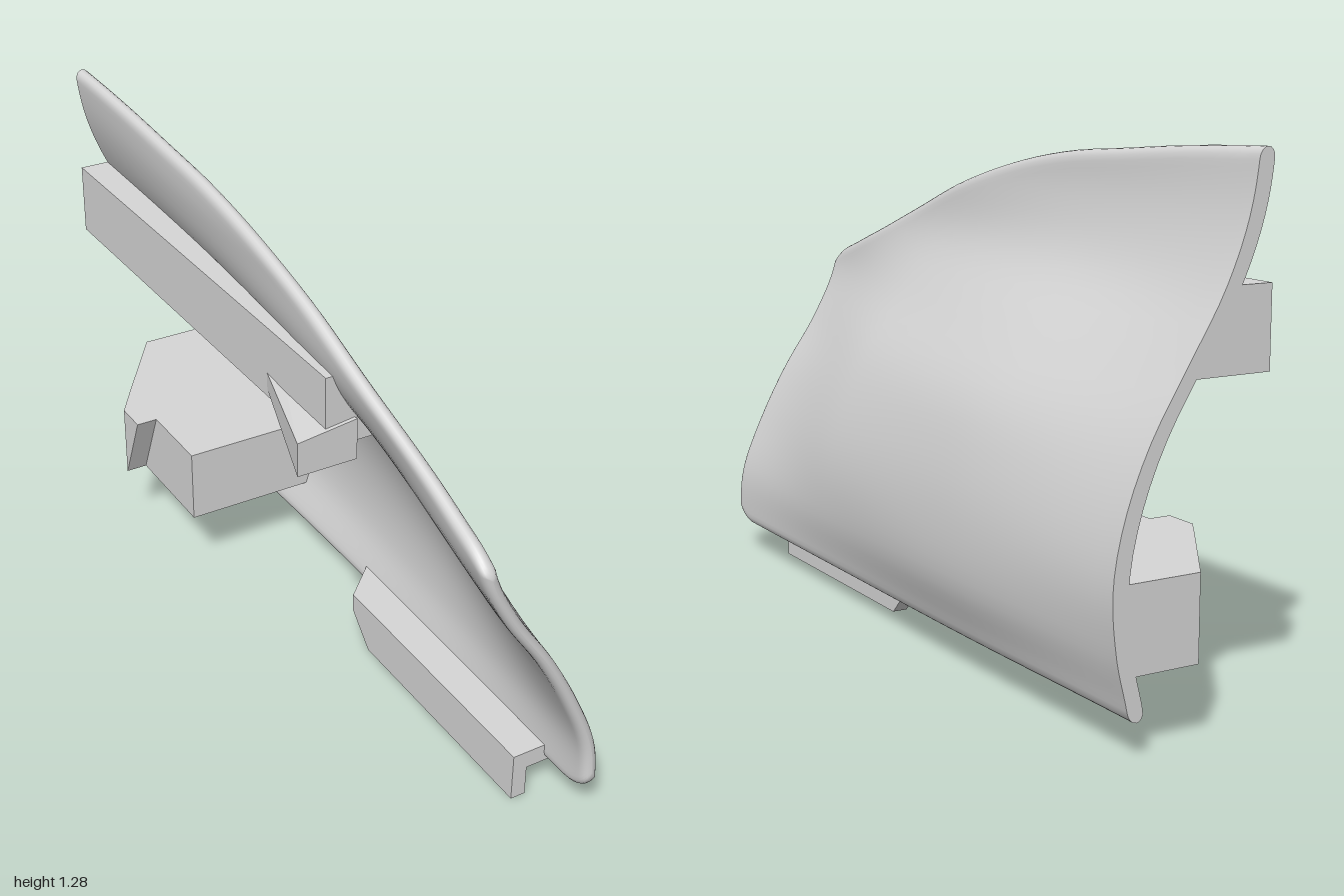
import * as THREE from 'three';

// Evenly spaced values turned into a smooth function of t in 0..1
function smooth(values) {
  const curve = new THREE.SplineCurve(values.map((v, i) => new THREE.Vector2(i, v)));
  return (t) => curve.getPoint(Math.min(1, Math.max(0, t))).y;
}

const BOTTOM = 0.085;
const topLine = smooth([1.28, 1.27, 1.252, 1.232, 1.19, 1.125, 1.035, 0.945, 0.875]); // back to front
// Outer face x from y = 0.085 to 1.285, at four stations from back to front
const stations = [
  [0.18, 0.213, 0.224, 0.195, 0.134, 0.044, -0.046, -0.105, -0.13],
  [0.195, 0.242, 0.248, 0.225, 0.172, 0.062, -0.064, -0.118, -0.13],
  [0.198, 0.225, 0.22, 0.177, 0.1, -0.018, -0.107, -0.128, -0.13],
  [0.2, 0.187, 0.126, 0.044, -0.056, -0.125, -0.131, -0.13, -0.13],
].map(smooth);

// x of the middle of the panel's thickness
function middleX(y, z) {
  const across = smooth(stations.map((station) => station((y - BOTTOM) / 1.2)));
  return across((z + 1) / 2) - 0.02;
}

// Curved panel with rounded rim and a flat cut at the back
function panelGeometry() {
  const N = 40, K = 48, ring = 2 * N;
  const pos = [], index = [];
  for (let k = 0; k <= K; k++) {
    const z = -1 + 2 * Math.sin((k / K) * Math.PI / 2);
    const u = Math.min(1, Math.max(0, (z - 0.91) / 0.09));
    const drop = 1 - Math.sqrt(1 - u * u);
    const lo = BOTTOM + 0.07 * drop, hi = topLine((z + 1) / 2) - 0.05 * drop;
    for (let i = 0; i < ring; i++) {
      const j = i <= N ? i : ring - i;
      const y = lo + (hi - lo) * (1 - Math.cos((j / N) * Math.PI)) / 2;
      const d = Math.min(1, Math.max(0, Math.min(y - lo, hi - y, 1 - z) / 0.025));
      const half = 0.02 * Math.sqrt(1 - (1 - d) ** 2);
      pos.push(middleX(y, z) + (i <= N ? half : -half), y, z);
    }
  }
  for (let k = 0; k < K; k++) {
    for (let i = 0; i < ring; i++) {
      const a = k * ring + i, b = k * ring + (i + 1) % ring;
      index.push(a, b, a + ring, b, b + ring, a + ring);
    }
  }
  // back cut, with its own vertices for a sharp edge
  const base = pos.length / 3;
  pos.push(...pos.slice(0, ring * 3));
  for (let j = 0; j < N; j++) {
    const o = base + j, p = base + j + 1;
    const n = base + (ring - j) % ring, m = base + ring - j - 1;
    index.push(o, n, p, n, m, p);
  }
  const g = new THREE.BufferGeometry();
  g.setAttribute('position', new THREE.Float32BufferAttribute(pos, 3));
  g.setIndex(index);
  g.computeVertexNormals();
  return g;
}

const toShape = (points) => new THREE.Shape(points.map(([x, y]) => new THREE.Vector2(x, y)));

// Plan outline of [x, z] points raised from y0 to y1
function fromPlan(points, y0, y1) {
  return new THREE.ExtrudeGeometry(toShape(points.map(([x, z]) => [x, -z])), { depth: y1 - y0, bevelEnabled: false })
    .rotateX(-Math.PI / 2).translate(0, y0, 0);
}

// Side outline of [z, y] points spread from x0 to x1
function fromSide(points, x0, x1) {
  return new THREE.ExtrudeGeometry(toShape(points.map(([z, y]) => [-z, y])), { depth: x1 - x0, bevelEnabled: false })
    .rotateY(Math.PI / 2).translate(x0, 0, 0);
}

// Move vertices by a rule and refresh the normals
function reshape(g, rule) {
  const p = g.attributes.position, v = new THREE.Vector3();
  for (let i = 0; i < p.count; i++) {
    rule(v.fromBufferAttribute(p, i));
    p.setXYZ(i, v.x, v.y, v.z);
  }
  g.computeVertexNormals();
  return g;
}

export function createModel() {
  const group = new THREE.Group();
  const grey = new THREE.MeshStandardMaterial({ color: 0xd6d6d6 });
  grey.name = 'light grey';
  const add = (name, geometry) => {
    const mesh = new THREE.Mesh(geometry, grey);
    mesh.name = name;
    group.add(mesh);
  };

  add('curvedPanel', panelGeometry());

  // Upper rail whose outer side follows the panel
  add('upperRail', reshape(
    new THREE.BoxGeometry(0.1, 0.19, 1.36, 1, 4, 10).translate(0, 0.9, -0.32),
    (v) => { v.x = v.x < 0 ? -0.17 : Math.max(-0.165, middleX(v.y, v.z)); },
  ));

  // Wedge on the rail, growing towards its tip
  add('upperRailHook', reshape(
    fromPlan([[-0.13, 0.08], [-0.17, 0.08], [-0.25, 0.37], [-0.09, 0.37]], 0.76, 0.87),
    (v) => {
      if (v.y > 0.8) v.y = v.x < -0.2 ? 0.85 : 0.87;
      else if (v.z < 0.2) v.y = 0.825;
    },
  ));

  // Lower mounting block and the barb on its inner side, undercut at the front
  add('mountingBlock', fromPlan([
    [0.19, -1], [0, -1], [-0.17, -0.755], [-0.17, -0.36], [0.2, -0.36],
  ], 0.187, 0.39));
  add('mountingBarb', reshape(
    fromPlan([[-0.17, -0.755], [-0.228, -0.67], [-0.228, -0.58], [-0.17, -0.58]], 0.187, 0.39),
    (v) => { if (v.z > -0.6 && v.y < 0.2) v.z = -0.669; },
  ));

  // Bottom clip: hanging lip with a chamfered end, joined to the panel by a flange
  add('clipLip', fromSide([[0.84, 0], [0.18, 0], [0.1, 0.08], [0.1, 0.13], [0.84, 0.13]], 0.07, 0.11));
  add('clipFlange', fromPlan([[0.07, 0.84], [0.07, 0.1], [0.175, 0], [0.175, 0.84]], 0.082, 0.13));

  return group;
}
